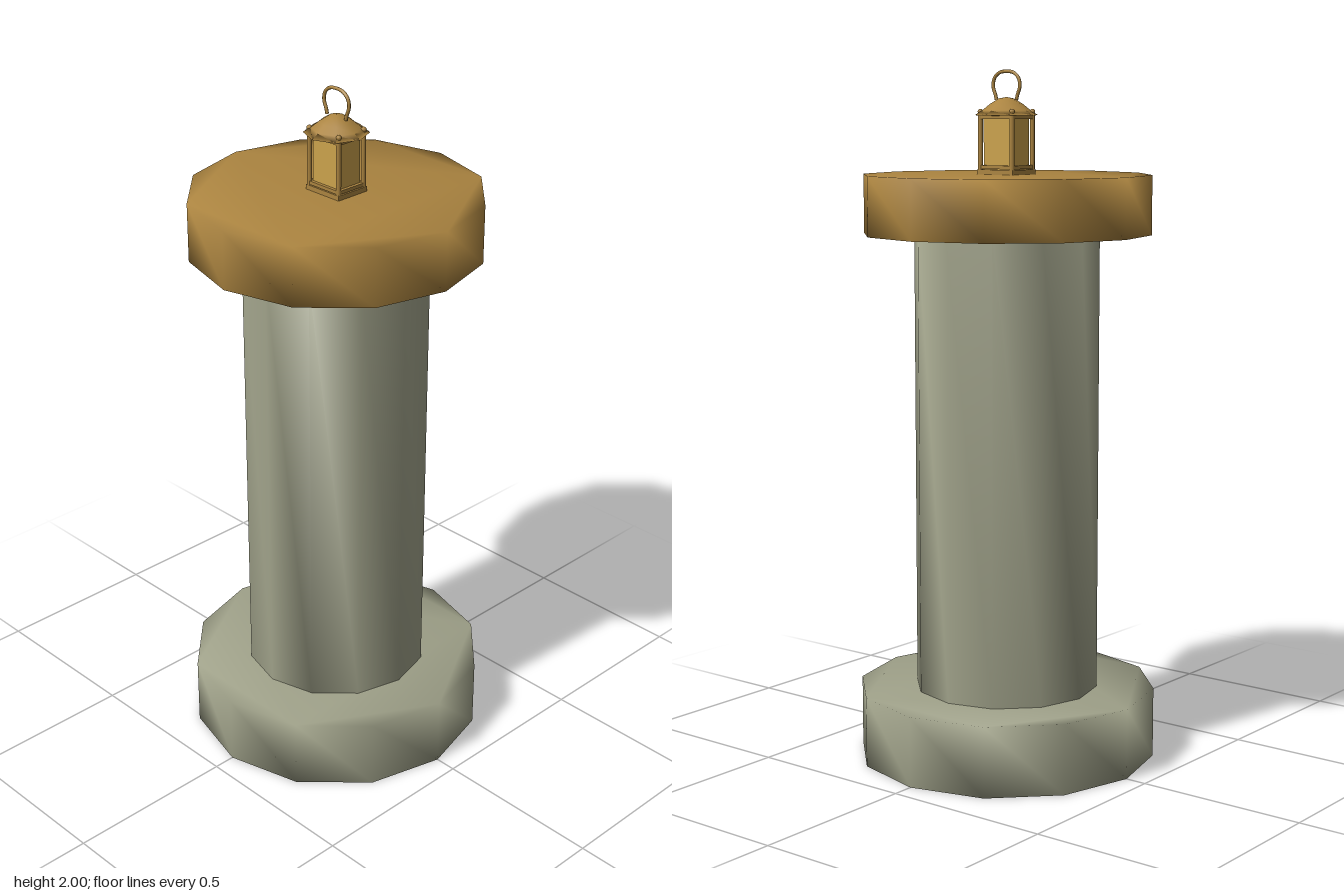
import * as THREE from 'three';
import { mergeVertices } from 'three/addons/utils/BufferGeometryUtils.js';

const material = (name, color) => {
  const m = new THREE.MeshStandardMaterial({ color });
  m.name = name;
  return m;
};

// Share corner vertices so the shading runs softly round the edges
function soften(geometry) {
  geometry.deleteAttribute('uv');
  geometry.deleteAttribute('normal');
  const merged = mergeVertices(geometry, 1e-4);
  merged.computeVertexNormals();
  return merged;
}

// Twelve-sided drum standing from y0 to y1
function drum(radius, y0, y1) {
  const corners = Array.from({ length: 12 }, (_, i) => {
    const a = (i * Math.PI) / 6;
    return new THREE.Vector2(radius * Math.cos(a), radius * Math.sin(a));
  });
  const g = new THREE.ExtrudeGeometry(new THREE.Shape(corners), { depth: y1 - y0, bevelEnabled: false });
  g.rotateX(-Math.PI / 2).translate(0, y0, 0);
  return soften(g);
}

export function createModel() {
  const model = new THREE.Group();
  model.name = 'lanternPillar';
  const stone = material('stone', 0x9fa189);
  const bronze = material('bronze', 0xab8440);
  const glass = material('amberGlass', 0xcba24c);

  const add = (parent, name, geometry, mat, x = 0, y = 0, z = 0) => {
    const mesh = new THREE.Mesh(geometry, mat);
    mesh.name = name;
    mesh.position.set(x, y, z);
    parent.add(mesh);
    return mesh;
  };

  // Pillar
  add(model, 'pillarBase', drum(0.437, 0, 0.205), stone);
  add(model, 'pillarShaft', drum(0.269, 0.2, 1.54), stone);
  add(model, 'pillarCap', drum(0.417, 1.535, 1.705), bronze);

  // Lantern body
  const lantern = new THREE.Group();
  lantern.name = 'lantern';
  model.add(lantern);
  add(lantern, 'lanternFloor', new THREE.BoxGeometry(0.128, 0.014, 0.108), bronze, 0, 1.712, 0);
  add(lantern, 'lanternGlass', new THREE.BoxGeometry(0.1, 0.155, 0.082), glass, 0, 1.795, 0);

  // Corner posts with small finials, and the rails between them
  for (const sx of [-1, 1]) {
    for (const sz of [-1, 1]) {
      add(lantern, 'cornerPost', new THREE.CylinderGeometry(0.007, 0.007, 0.17, 8), bronze, sx * 0.057, 1.795, sz * 0.047);
      add(lantern, 'postFinial', new THREE.SphereGeometry(0.008, 8, 6), bronze, sx * 0.057, 1.882, sz * 0.047);
    }
  }
  for (const y of [1.726, 1.866]) {
    for (const s of [-1, 1]) {
      add(lantern, 'longRail', new THREE.BoxGeometry(0.114, 0.01, 0.01), bronze, 0, y, s * 0.047);
      add(lantern, 'sideRail', new THREE.BoxGeometry(0.01, 0.01, 0.094), bronze, s * 0.057, y, 0);
    }
  }

  // Eight-sided roof with a low crown
  const roofProfile = [[0, 1.868], [0.091, 1.872], [0.07, 1.885], [0.048, 1.903], [0.022, 1.919], [0, 1.923]]
    .map(([r, y]) => new THREE.Vector2(r, y));
  add(lantern, 'lanternRoof', new THREE.LatheGeometry(roofProfile, 8), bronze);

  // Carrying loop
  const half = [[0.036, 1.915], [0.04, 1.93], [0.048, 1.952], [0.044, 1.975], [0.026, 1.991]];
  const loop = [
    ...half.map(([x, y]) => new THREE.Vector3(-x, y, 0)),
    new THREE.Vector3(0, 1.995, 0),
    ...half.map(([x, y]) => new THREE.Vector3(x, y, 0)).reverse(),
  ];
  add(lantern, 'carryingLoop', new THREE.TubeGeometry(new THREE.CatmullRomCurve3(loop), 32, 0.005, 8), bronze);

  return model;
}
